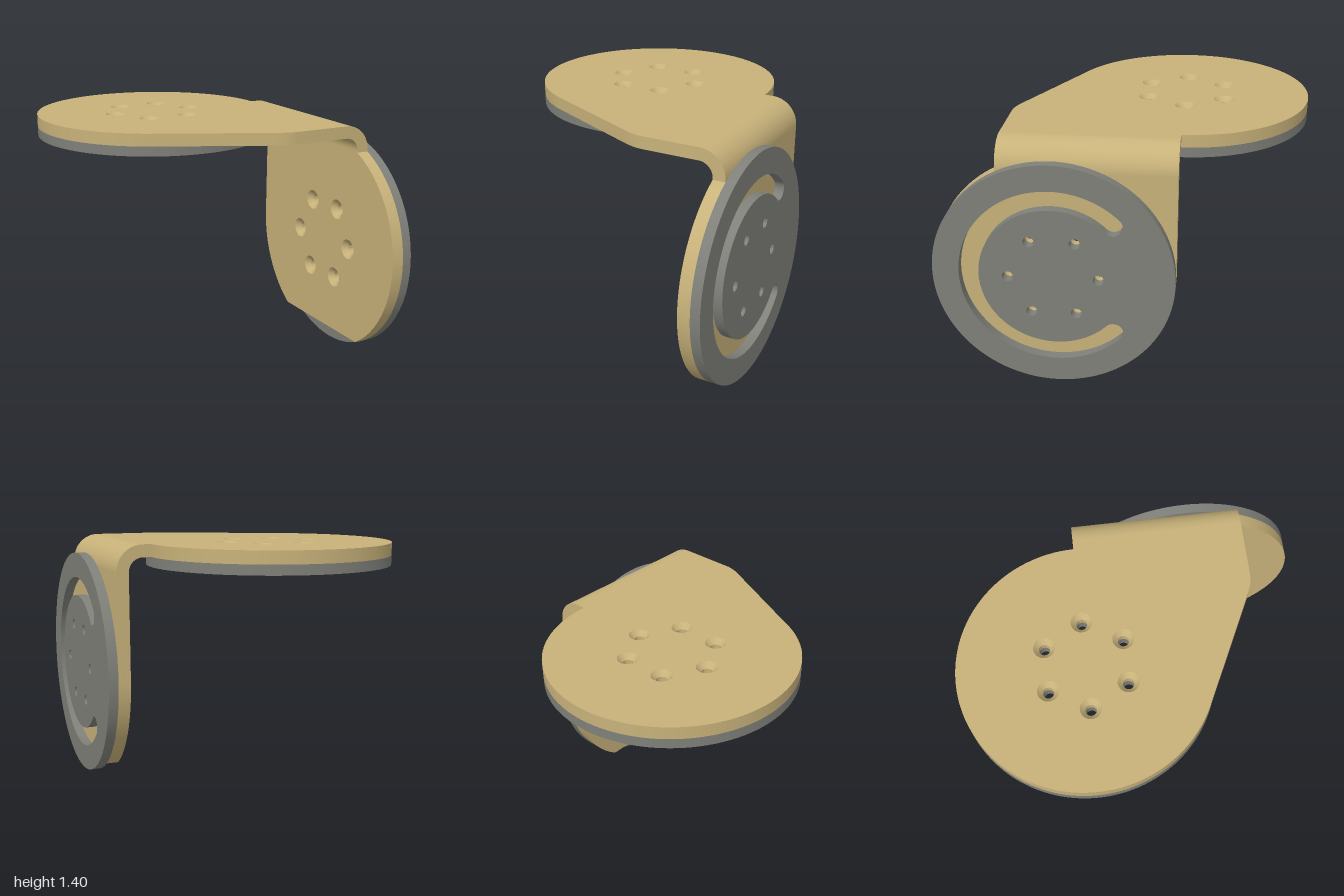
import * as THREE from 'three';
import { toCreasedNormals } from 'three/addons/utils/BufferGeometryUtils.js';

const tan = new THREE.MeshStandardMaterial({ color: 0xc8b27a });
const tanOpen = new THREE.MeshStandardMaterial({ color: 0xc8b27a, side: THREE.DoubleSide });
const grey = new THREE.MeshStandardMaterial({ color: 0x80807a });

const PLATE = 0.07, SINK = 0.03, PAD = 0.055;
const HOLE_R = 0.03, SINK_R = 0.058, BOLT_R = 0.245;

// Six bolt positions around the disc centre
const bolts = Array.from({ length: 6 }, (_, i) => {
  const a = (i * Math.PI) / 3;
  return [BOLT_R * Math.cos(a), BOLT_R * Math.sin(a)];
});

function addMesh(parent, name, geometry, material) {
  const mesh = new THREE.Mesh(geometry, material);
  mesh.name = name;
  parent.add(mesh);
  return mesh;
}

function extrude(shape, depth) {
  const geo = new THREE.ExtrudeGeometry(shape, { depth, bevelEnabled: false, curveSegments: 64 });
  return toCreasedNormals(geo, 0.6);
}

function drill(shape, radius) {
  for (const [x, y] of bolts) shape.holes.push(new THREE.Path().absarc(x, y, radius, 0, Math.PI * 2, false));
  return shape;
}

// C-shaped slot with round ends, open towards the given angle
function slotPath(open) {
  const R = 0.456, w = 0.054;
  const s = open + Math.PI / 4, e = open + Math.PI * 1.75;
  const path = new THREE.Path();
  path.absarc(0, 0, R + w, s, e, false);
  path.absarc(R * Math.cos(e), R * Math.sin(e), w, e, e + Math.PI, false);
  path.absarc(0, 0, R - w, e, s, true);
  path.absarc(R * Math.cos(s), R * Math.sin(s), w, s + Math.PI, s + Math.PI * 2, false);
  return path;
}

// One arm: countersunk metal plate with a slotted pad behind it, local z runs from plate to pad
function makeArm(name, outline, padRadius, open) {
  const arm = new THREE.Group();
  arm.name = name;
  addMesh(arm, 'plateCountersunkLayer', extrude(drill(outline(), SINK_R), SINK), tan);
  addMesh(arm, 'plateBackLayer', extrude(drill(outline(), HOLE_R), PLATE - SINK), tan).position.z = SINK;

  // Conical walls of the countersinks
  const cone = new THREE.LatheGeometry([new THREE.Vector2(SINK_R, 0), new THREE.Vector2(HOLE_R, SINK)], 32);
  cone.rotateX(Math.PI / 2);
  for (const [x, y] of bolts) addMesh(arm, 'countersink', cone, tanOpen).position.set(x, y, 0);

  const disc = drill(new THREE.Shape().absarc(0, 0, padRadius, 0, Math.PI * 2, false), HOLE_R);
  disc.holes.push(slotPath(open));
  addMesh(arm, 'slottedPad', extrude(disc, PAD), grey).position.z = PLATE;
  return arm;
}

// Top plate: round end running tangentially into a tab
function topOutline() {
  const s = new THREE.Shape();
  s.moveTo(0.74, 0);
  s.lineTo(0.74, 0.945);
  s.lineTo(0.42, 0.945);
  s.quadraticCurveTo(0.365, 0.945, 0.295, 0.91);
  s.lineTo(-0.3, 0.621);
  s.absarc(0, 0, 0.69, Math.atan2(0.621, -0.3), Math.PI * 2, false);
  s.closePath();
  return s;
}

// Side plate: round end with a flat bottom, square towards the bend
function sideOutline() {
  const r = 0.655, low = Math.asin(-0.545 / r);
  const s = new THREE.Shape();
  s.absarc(0, 0, r, low, 0, false);
  s.lineTo(r, 0.595);
  s.lineTo(-0.29, 0.595);
  s.absarc(0, 0, r, Math.acos(-0.29 / r), Math.PI - low, false);
  s.closePath();
  return s;
}

export function createModel() {
  const model = new THREE.Group();
  model.name = 'angleBracket';

  const top = makeArm('topArm', topOutline, 0.69, (40 * Math.PI) / 180);
  top.rotation.x = Math.PI / 2;
  top.position.set(-0.13, 1.4, -0.31);

  const side = makeArm('sideArm', sideOutline, 0.655, 0);
  side.rotation.y = Math.PI / 2;
  side.position.set(0.69, 0.655, 0.345);
  model.add(top, side);

  // Quarter-round bend joining the two plates
  const arc = new THREE.Shape();
  arc.absarc(0, 0, 0.15, 0, Math.PI / 2, false);
  arc.absarc(0, 0, 0.08, Math.PI / 2, 0, true);
  arc.closePath();
  addMesh(model, 'bend', extrude(arc, 0.945), tan).position.set(0.61, 1.25, -0.31);

  return model;
}
